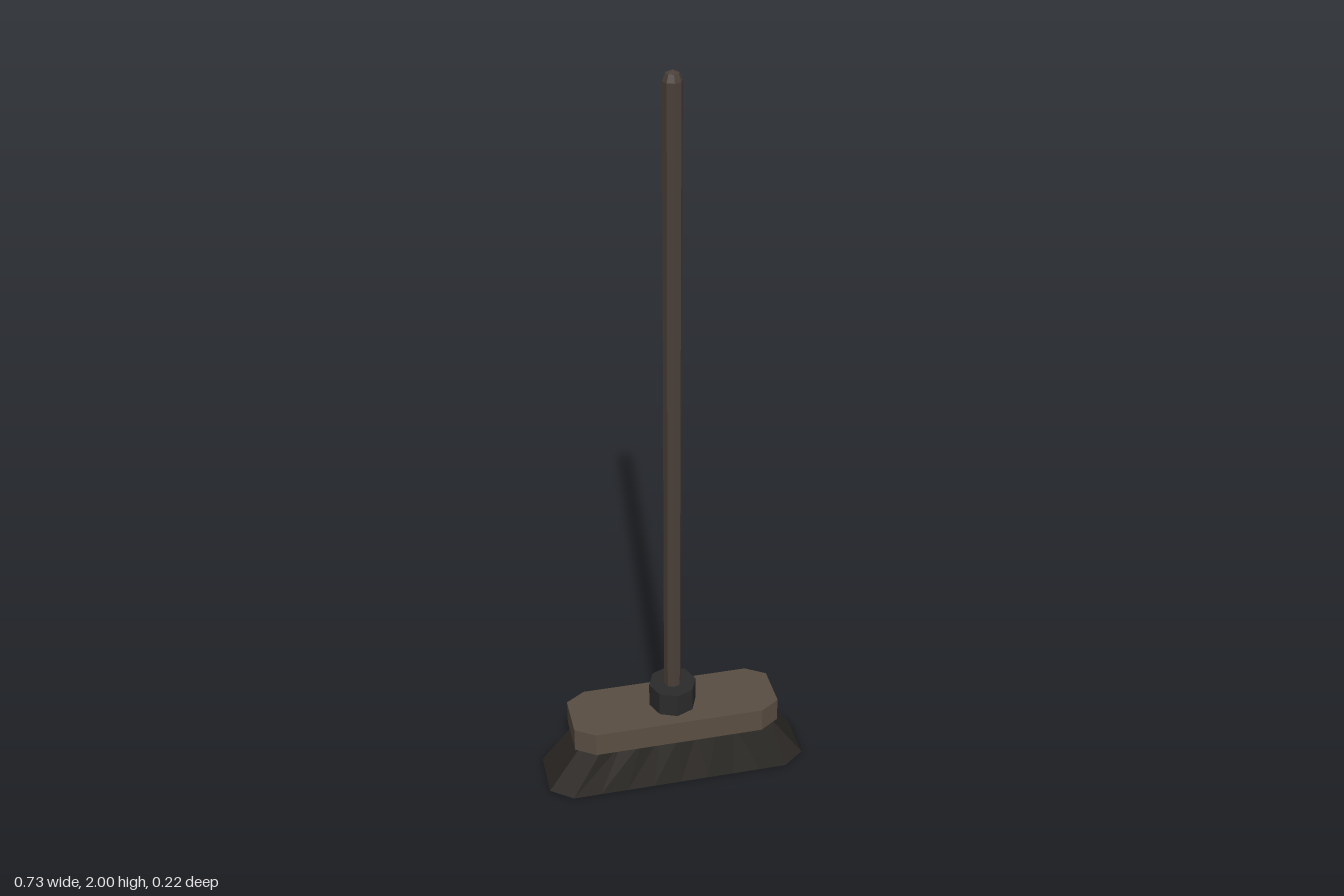
import * as THREE from 'three';

const mat = (color, side = THREE.FrontSide) =>
  new THREE.MeshStandardMaterial({ color, flatShading: true, roughness: 0.9, side });

// Rectangle with cut corners, its long edges split into n steps; runs counterclockwise in (x, -z)
function cutRing(x, z, cx, cz, n, y, pleat = 0) {
  const pts = [];
  for (const s of [1, -1]) {
    for (let i = 0; i <= n; i++) {
      const inset = i > 0 && i < n && i % 2 ? pleat : 0;
      pts.push(new THREE.Vector3(s * (-cx + (2 * cx * i) / n), y, s * (z - inset)));
    }
    pts.push(new THREE.Vector3(s * x, y, s * cz), new THREE.Vector3(s * x, y, -s * cz));
  }
  return pts;
}

// Solid between a lower and an upper ring, with both ends closed
function loft(lower, upper) {
  const pos = [];
  const tri = (...vs) => vs.forEach((v) => pos.push(v.x, v.y, v.z));
  const bottom = new THREE.Vector3(0, lower[0].y, 0);
  const top = new THREE.Vector3(0, upper[0].y, 0);
  lower.forEach((a, i) => {
    const j = (i + 1) % lower.length;
    tri(a, lower[j], upper[j]);
    tri(a, upper[j], upper[i]);
    tri(bottom, lower[j], a);
    tri(top, upper[i], upper[j]);
  });
  const geo = new THREE.BufferGeometry();
  geo.setAttribute('position', new THREE.Float32BufferAttribute(pos, 3));
  geo.computeVertexNormals();
  return geo;
}

export function createModel() {
  const group = new THREE.Group();
  const add = (name, geometry, material) => {
    const mesh = new THREE.Mesh(geometry, material);
    mesh.name = name;
    group.add(mesh);
    return mesh;
  };

  // Flared bristles, lightly pleated where they enter the block
  add('bristles', loft(
    cutRing(0.365, 0.112, 0.305, 0.067, 8, 0),
    cutRing(0.268, 0.08, 0.215, 0.05, 8, 0.135, 0.008)
  ), mat(0x2a2724));

  // Wooden block with cut corners
  add('block', loft(
    cutRing(0.289, 0.095, 0.235, 0.06, 1, 0.13),
    cutRing(0.289, 0.095, 0.235, 0.06, 1, 0.2)
  ), mat(0x5a4e42));

  // Octagonal socket
  const socket = add('socket', new THREE.CylinderGeometry(0.066, 0.066, 0.07, 8), mat(0x2b2b2b));
  socket.position.y = 0.235;

  // Long handle with a rounded tip
  const profile = [[0, 0.21], [0.024, 0.21], [0.024, 1.975], [0.017, 1.993], [0, 2]]
    .map(([r, y]) => new THREE.Vector2(r, y));
  add('handle', new THREE.LatheGeometry(profile, 8), mat(0x4a4039));

  return group;
}
